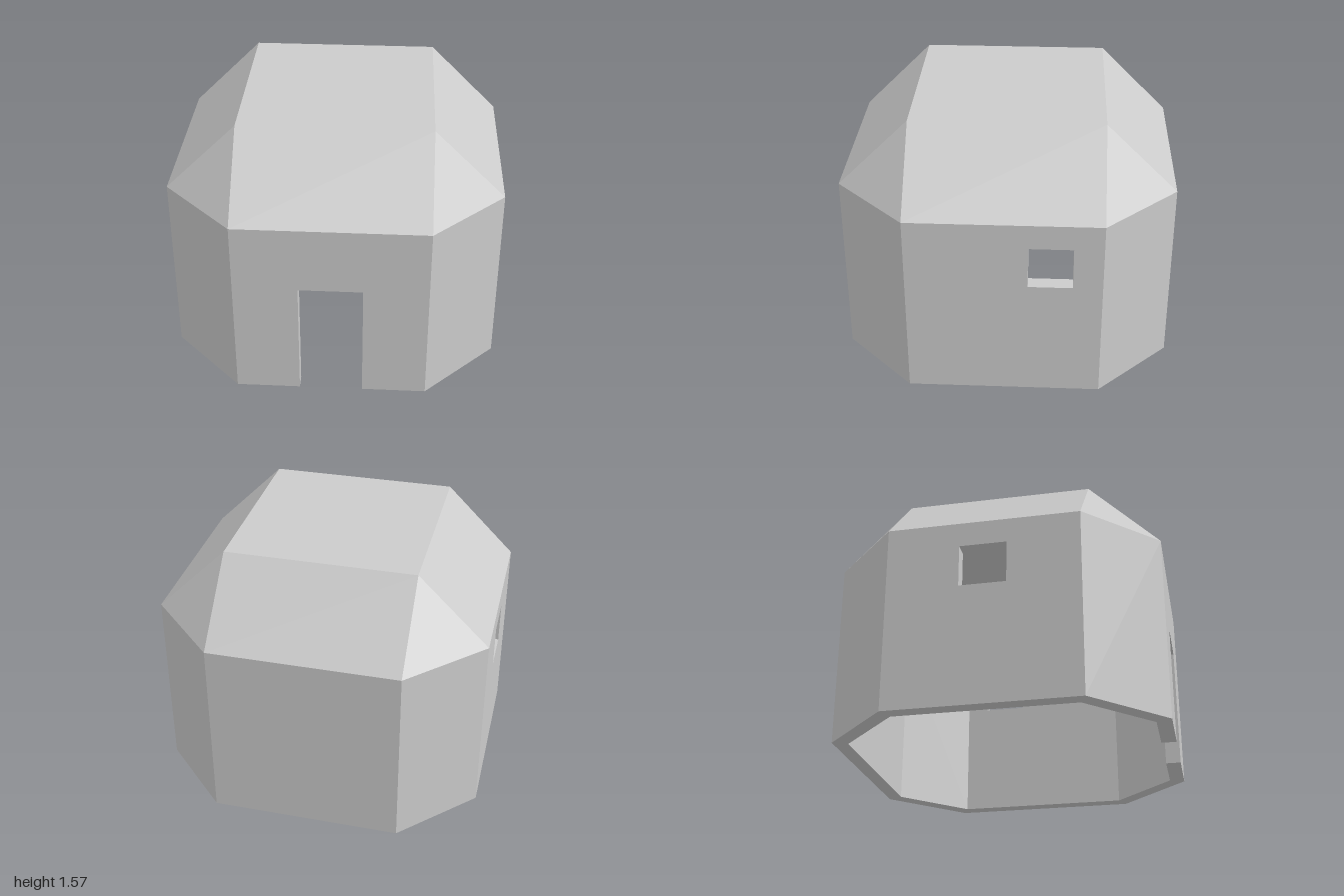
import * as THREE from 'three';

const W = 0.573;               // half width of each flat side
const EAVE = 1.147, TOP = 1.573;
const T = 0.09;                // wall and roof thickness
const M = T * Math.SQRT2 - T;  // mitre inset where panels meet at 45 degrees

const material = new THREE.MeshStandardMaterial({ color: 0xcccccc, flatShading: true });

// Wall panel facing +z, mitred inwards at both ends and at the eave
function wallGeometry(half, { door, window } = {}) {
  const outline = [[-half, 0]];
  if (door) outline.push([-door.half, 0], [-door.half, door.height], [door.half, door.height], [door.half, 0]);
  outline.push([half, 0], [half, EAVE], [-half, EAVE]);
  const shape = new THREE.Shape(outline.map(([x, y]) => new THREE.Vector2(x, y)));
  if (window) {
    const [x0, x1, y0, y1] = window;
    shape.holes.push(new THREE.Path([[x0, y0], [x0, y1], [x1, y1], [x1, y0]].map(([x, y]) => new THREE.Vector2(x, y))));
  }
  const source = new THREE.ExtrudeGeometry(shape, { depth: T, bevelEnabled: false }).translate(0, 0, -T);
  const p = source.attributes.position;
  const near = (a, b) => Math.abs(a - b) < 1e-4;
  const kept = [];
  for (let i = 0; i < p.count; i += 3) {
    const tri = [0, 1, 2].map(k => new THREE.Vector3().fromBufferAttribute(p, i + k));
    // leave out the hidden faces inside the joints
    if (tri.every(v => near(v.x, half)) || tri.every(v => near(v.x, -half)) || tri.every(v => near(v.y, EAVE))) continue;
    for (const v of tri) {
      if (v.z < -T / 2) {
        if (near(Math.abs(v.x), half)) v.x -= Math.sign(v.x) * M;
        if (near(v.y, EAVE)) v.y -= M;
      }
      kept.push(v);
    }
  }
  const geometry = new THREE.BufferGeometry().setFromPoints(kept);
  geometry.computeVertexNormals();
  return geometry;
}

// Roof panel: outer face plus the matching inner face, corners counterclockwise from outside
function roofGeometry(corners) {
  const inset = c => Math.sign(c) * (Math.abs(c) > 0.9 ? Math.abs(c) - T : Math.abs(c) - M);
  const outer = corners.map(c => new THREE.Vector3(...c));
  const inner = corners.map(([x, y, z]) => new THREE.Vector3(inset(x), y === TOP ? y - T : y - M, inset(z)));
  const points = [];
  for (let i = 1; i < corners.length - 1; i++) {
    points.push(outer[0], outer[i], outer[i + 1], inner[0], inner[i + 1], inner[i]);
  }
  const geometry = new THREE.BufferGeometry().setFromPoints(points);
  geometry.computeVertexNormals();
  return geometry;
}

export function createModel() {
  const model = new THREE.Group();
  const add = (name, geometry, angle = 0, distance = 0) => {
    const mesh = new THREE.Mesh(geometry, material);
    mesh.name = name;
    mesh.rotation.y = angle;
    mesh.position.set(Math.sin(angle) * distance, 0, Math.cos(angle) * distance);
    model.add(mesh);
  };

  // Main walls: doorway in front, one window in each side
  const openings = [
    ['frontWall', { door: { half: 0.19, height: 0.737 } }],
    ['leftWall', { window: [0.14, 0.40, 0.737, 0.995] }],
    ['backWall', {}],
    ['rightWall', { window: [-0.14, 0.14, 0.737, 0.995] }],
  ];
  const cornerHalf = (1 - W) / Math.SQRT2;
  const cornerDistance = (1 + W) / Math.SQRT2;

  openings.forEach(([name, opening], i) => {
    const angle = i * Math.PI / 2;
    add(name, wallGeometry(W, opening), angle, 1);
    add('cornerWall', wallGeometry(cornerHalf), angle + Math.PI / 4, cornerDistance);
    // Sloping roof panel and the triangle beside it
    add('roofSlope', roofGeometry([[-W, EAVE, 1], [W, EAVE, 1], [W, TOP, W], [-W, TOP, W]]), angle);
    add('roofCorner', roofGeometry([[W, EAVE, 1], [1, EAVE, W], [W, TOP, W]]), angle);
  });

  // Flat roof top
  add('roofTop', roofGeometry([[-W, TOP, W], [W, TOP, W], [W, TOP, -W], [-W, TOP, -W]]));
  return model;
}
